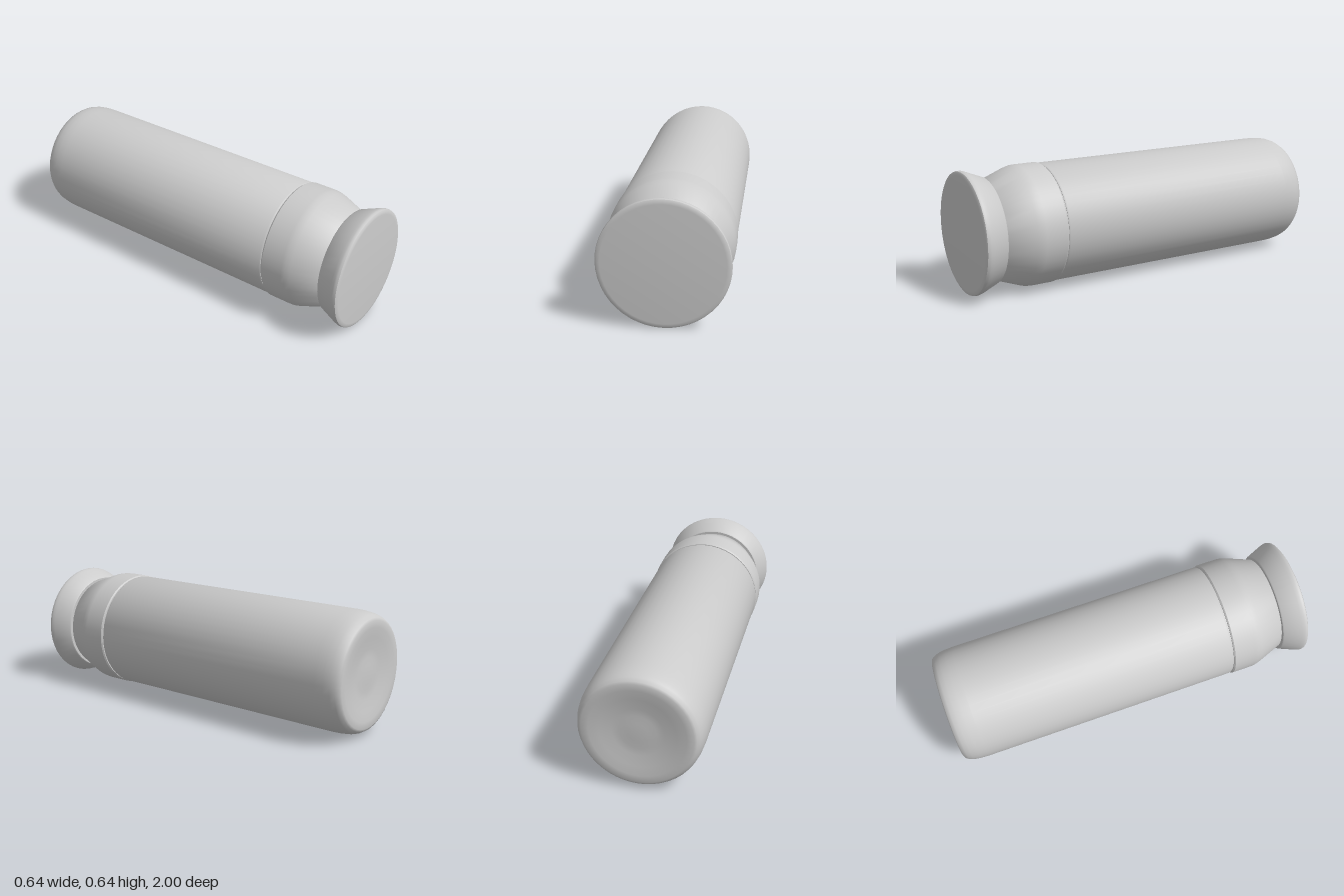
import * as THREE from 'three';
import { toCreasedNormals } from 'three/addons/utils/BufferGeometryUtils.js';

const SIDES = 48;
const AXIS_HEIGHT = 0.32;

// Turns a [radius, z] profile, listed from back to front, around the z axis.
function turned(name, profile) {
  const points = profile.map(([r, z]) => new THREE.Vector2(r, z));
  const lathe = new THREE.LatheGeometry(points, SIDES).rotateX(Math.PI / 2);
  const mesh = new THREE.Mesh(
    toCreasedNormals(lathe, 0.6),
    new THREE.MeshStandardMaterial({ color: 0xcccccc })
  );
  mesh.name = name;
  return mesh;
}

export function createModel() {
  const model = new THREE.Group();
  model.name = 'cylindricalContainer';

  // Long barrel with a rounded, slightly dished base
  const body = turned('body', [
    [0, -0.982], [0.05, -0.983], [0.09, -0.98], [0.13, -0.982], [0.19, -0.992],
    [0.24, -0.998], [0.275, -1], [0.288, -0.994], [0.3, -0.975], [0.308, -0.95],
    [0.313, -0.915], [0.315, -0.87], [0.315, 0.545], [0.311, 0.552], [0, 0.552],
  ]);

  // Collar narrowing towards the neck
  const collar = turned('collar', [
    [0, 0.557], [0.314, 0.557], [0.32, 0.564], [0.32, 0.68], [0.318, 0.7],
    [0.311, 0.725], [0.26, 0.862], [0.255, 0.866], [0, 0.866],
  ]);

  // Flared cap with a flat front
  const cap = turned('cap', [
    [0, 0.867], [0.272, 0.867], [0.278, 0.872], [0.314, 0.96], [0.319, 0.975],
    [0.32, 0.985], [0.317, 0.994], [0.308, 0.999], [0.295, 1], [0, 1],
  ]);

  // Recessed core that closes the thin seams
  const core = turned('core', [[0, 0.5], [0.308, 0.5], [0.308, 0.6], [0.24, 0.7], [0.24, 0.9], [0, 0.9]]);

  model.add(body, collar, cap, core);
  model.children.forEach((part) => { part.position.y = AXIS_HEIGHT; });
  return model;
}
